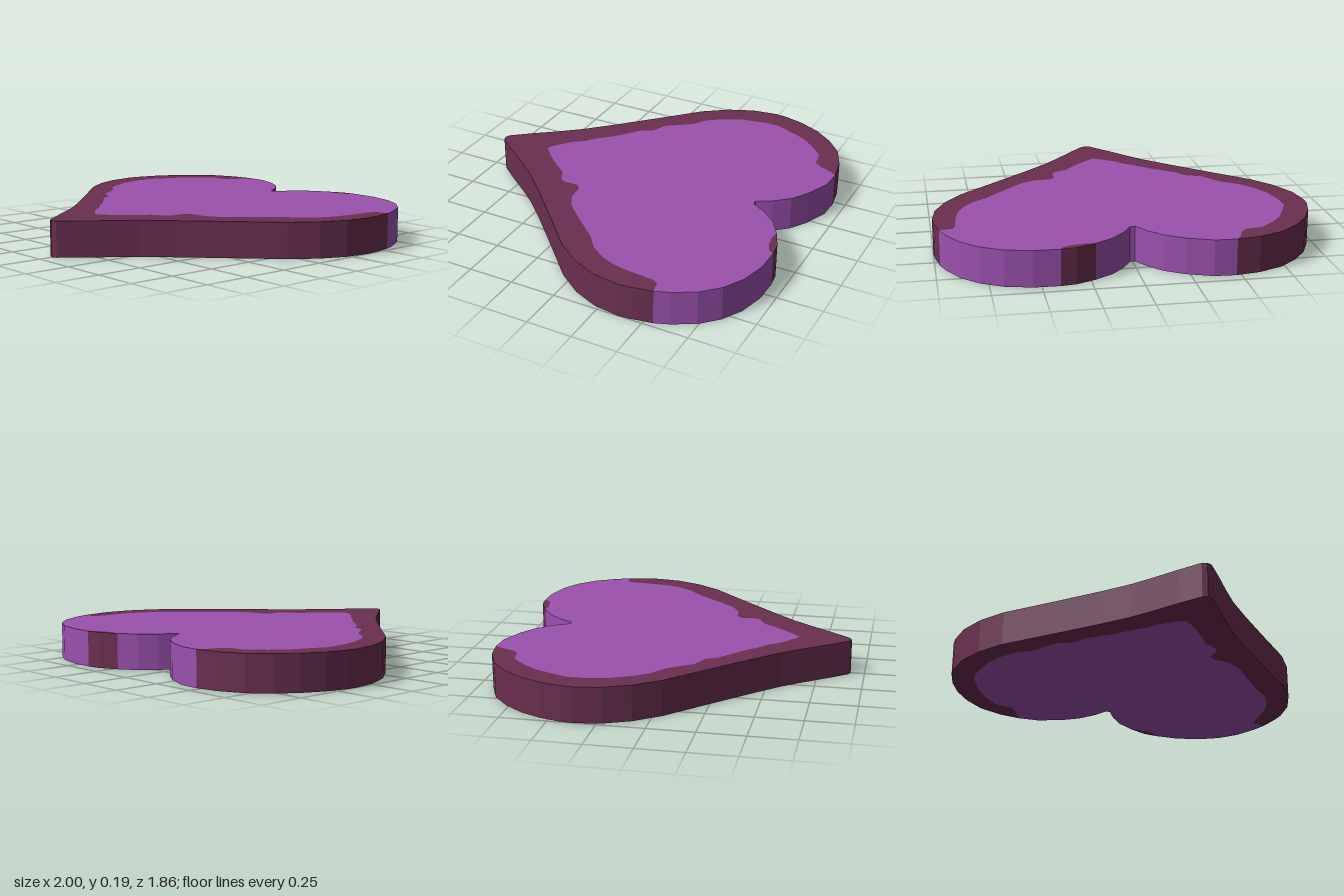
import * as THREE from 'three';

const HEIGHT = 0.19;

// Points are [x, z], running clockwise as seen from above.
const lowerHalf = [
  [0.995, -0.43], [1, -0.365], [0.98, -0.225], [0.92, -0.085], [0.824, 0.048], [0.615, 0.25],
  [0.412, 0.45], [0.29, 0.577], [0.2, 0.69], [0.11, 0.81], [0.027, 0.914],
];
const notchHalf = [[0.013, -0.655], [0.06, -0.735], [0.13, -0.815], [0.225, -0.877]];
const mirrored = (pts) => pts.map(([x, z]) => [-x, z]).reverse();

// Outer outline, cut where the colour changes
const leftStart = [-0.475, -0.935];
const rightEnd = [0.973, -0.55];
const notchArc = [leftStart, [-0.36, -0.93], ...mirrored(notchHalf), ...notchHalf];
const chipArc = [[0.225, -0.877], [0.326, -0.922], [0.406, -0.933]];
const rightArc = [[0.406, -0.933], [0.54, -0.93], [0.68, -0.895], [0.79, -0.833], [0.88, -0.743], [0.945, -0.625], rightEnd];
const rimArc = [
  rightEnd, ...lowerHalf, [0, 0.925], ...mirrored(lowerHalf),
  [-0.965, -0.545], [-0.91, -0.663], [-0.834, -0.765], [-0.733, -0.855], [-0.6, -0.914], leftStart,
];

// Wavy borders between the two colours
const chipBorder = [[0.27, -0.87], [0.34, -0.882], [0.39, -0.902]];
const rimBorder = [
  [0.904, -0.535], [0.888, -0.5], [0.877, -0.36], [0.861, -0.267], [0.829, -0.19], [0.775, -0.11],
  [0.7, -0.05], [0.62, 0.04], [0.54, 0.13], [0.476, 0.198], [0.4, 0.24], [0.305, 0.25],
  [0.278, 0.278], [0.283, 0.35], [0.267, 0.385], [0.193, 0.422], [0.14, 0.492], [0.075, 0.567],
  [0, 0.638], [-0.03, 0.626], [-0.128, 0.55], [-0.166, 0.497], [-0.246, 0.428], [-0.3, 0.37],
  [-0.433, 0.262], [-0.47, 0.198], [-0.556, 0.16], [-0.6, 0.096], [-0.652, 0.027], [-0.733, -0.03],
  [-0.79, -0.107], [-0.84, -0.214], [-0.866, -0.348], [-0.866, -0.44], [-0.834, -0.513], [-0.79, -0.615],
  [-0.727, -0.7], [-0.647, -0.775], [-0.556, -0.79], [-0.524, -0.83], [-0.503, -0.888],
];

// Flat face on the top or the underside
function capGeometry(pts, top) {
  const shape = new THREE.Shape(pts.map(([x, z]) => new THREE.Vector2(x, top ? -z : z)));
  const geo = new THREE.ShapeGeometry(shape);
  geo.rotateX(top ? -Math.PI / 2 : Math.PI / 2);
  if (top) geo.translate(0, HEIGHT, 0);
  return geo;
}

// Upright strip of flat facets along part of the outline
function wallGeometry(pts) {
  const pos = [];
  for (let i = 0; i < pts.length - 1; i++) {
    const [ax, az] = pts[i];
    const [bx, bz] = pts[i + 1];
    pos.push(bx, 0, bz, ax, 0, az, ax, HEIGHT, az);
    pos.push(bx, 0, bz, ax, HEIGHT, az, bx, HEIGHT, bz);
  }
  const geo = new THREE.BufferGeometry();
  geo.setAttribute('position', new THREE.Float32BufferAttribute(pos, 3));
  geo.computeVertexNormals();
  return geo;
}

// One coloured region: two caps plus its stretches of outer wall
function region(name, face, walls, material) {
  const group = new THREE.Group();
  group.name = name;
  const add = (part, geo) => {
    const mesh = new THREE.Mesh(geo, material);
    mesh.name = name + part;
    group.add(mesh);
  };
  add('Top', capGeometry(face, true));
  add('Underside', capGeometry(face, false));
  walls.forEach((w) => add('Wall', wallGeometry(w)));
  return group;
}

export function createModel() {
  const purple = new THREE.MeshStandardMaterial({ color: 0x9a51ae });
  purple.name = 'purple';
  const maroon = new THREE.MeshStandardMaterial({ color: 0x6a2f50 });
  maroon.name = 'maroon';

  const model = new THREE.Group();
  model.name = 'heart';
  model.add(
    region('heartBody', [...notchArc, ...chipBorder, ...rightArc, ...rimBorder], [notchArc, rightArc], purple),
    region('heartRim', [...rimArc, ...[...rimBorder].reverse()], [rimArc], maroon),
    region('rimChip', [...chipArc, ...[...chipBorder].reverse()], [chipArc], maroon),
  );
  return model;
}
